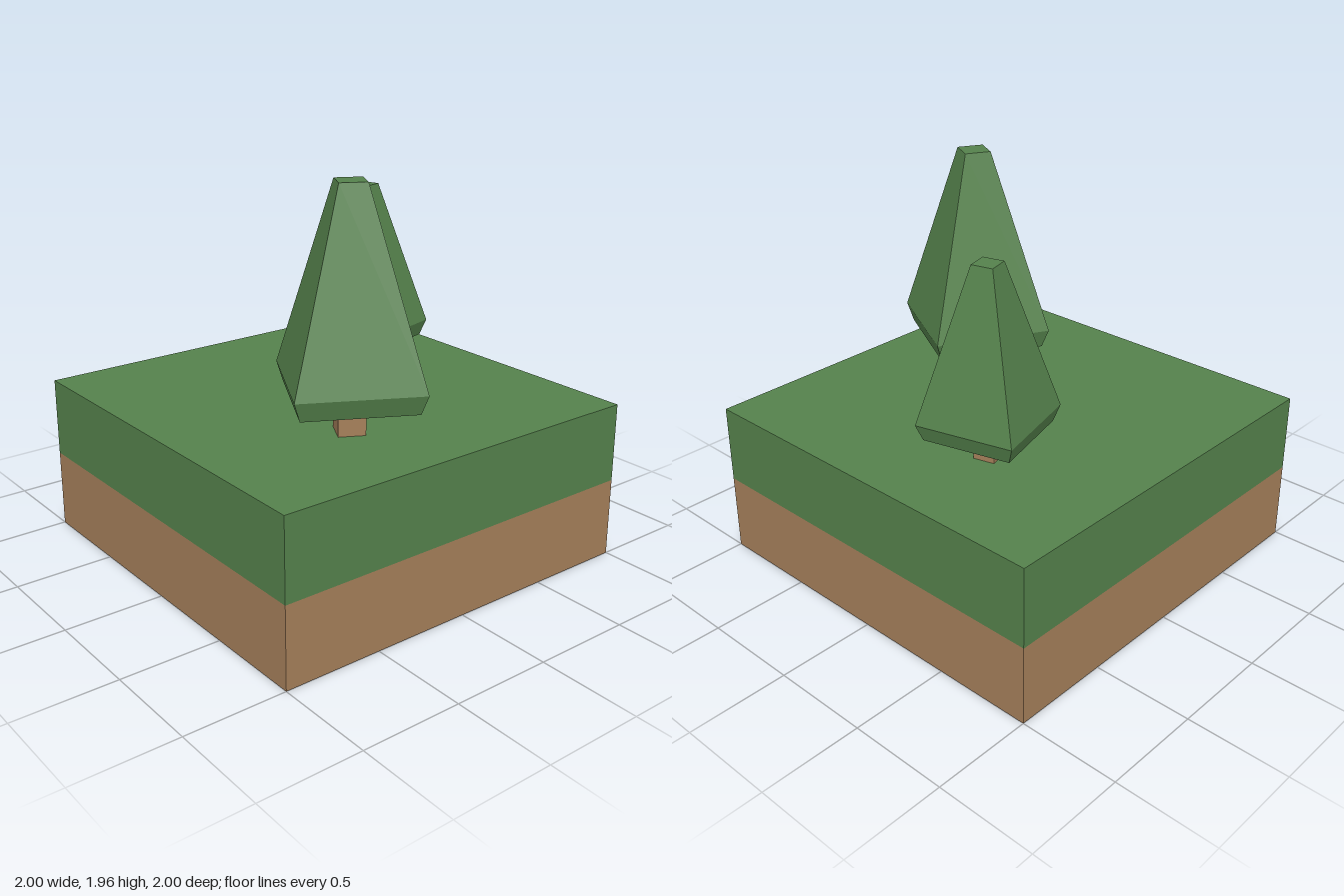
import * as THREE from 'three';

const green = new THREE.MeshStandardMaterial({ color: 0x55824c, flatShading: true });
const brown = new THREE.MeshStandardMaterial({ color: 0xa57f5a, flatShading: true });

function addMesh(parent, name, geometry, material, y) {
  const mesh = new THREE.Mesh(geometry, material);
  mesh.name = name;
  mesh.position.y = y;
  parent.add(mesh);
}

// Four-sided frustum standing between two heights
function addFrustum(parent, name, material, y0, r0, y1, r1, open = false) {
  const geometry = new THREE.CylinderGeometry(r1, r0, y1 - y0, 4, 1, open);
  addMesh(parent, name, geometry, material, (y0 + y1) / 2);
}

// Canopy in one piece: underside, flared rim, tapering sides and flat tip
function addCanopy(parent, profile) {
  const points = profile.map(([r, y]) => new THREE.Vector2(r, y));
  const geometry = new THREE.LatheGeometry(points, 4).toNonIndexed();
  geometry.computeVertexNormals();
  addMesh(parent, 'canopy', geometry, green, 0);
}

function makeTree({ name, x, z, turn, trunk, bottom, rim, top }) {
  const tree = new THREE.Group();
  tree.name = name;
  tree.position.set(x, 0, z);
  tree.rotation.y = THREE.MathUtils.degToRad(turn);
  addFrustum(tree, 'trunk', brown, 0.8, trunk, bottom[1], trunk);
  addCanopy(tree, [[0, bottom[1]], bottom, rim, top, [0, top[1]]]);
  return tree;
}

export function createModel() {
  const model = new THREE.Group();
  model.name = 'groundTileWithTrees';

  // Square block of soil with grass on top
  addMesh(model, 'soil', new THREE.BoxGeometry(2, 0.4, 2), brown, 0.2);
  addMesh(model, 'grass', new THREE.BoxGeometry(2, 0.4, 2), green, 0.6);

  // Two trees; canopy rings are [radius, height]
  model.add(makeTree({
    name: 'largeTree', x: -0.243, z: 0.469, turn: 16.7, trunk: 0.092,
    bottom: [0.381, 0.965], rim: [0.42, 1.06], top: [0.092, 1.963],
  }));
  model.add(makeTree({
    name: 'smallTree', x: 0.446, z: -0.28, turn: 60, trunk: 0.076,
    bottom: [0.31, 0.935], rim: [0.346, 1.015], top: [0.076, 1.756],
  }));

  return model;
}
